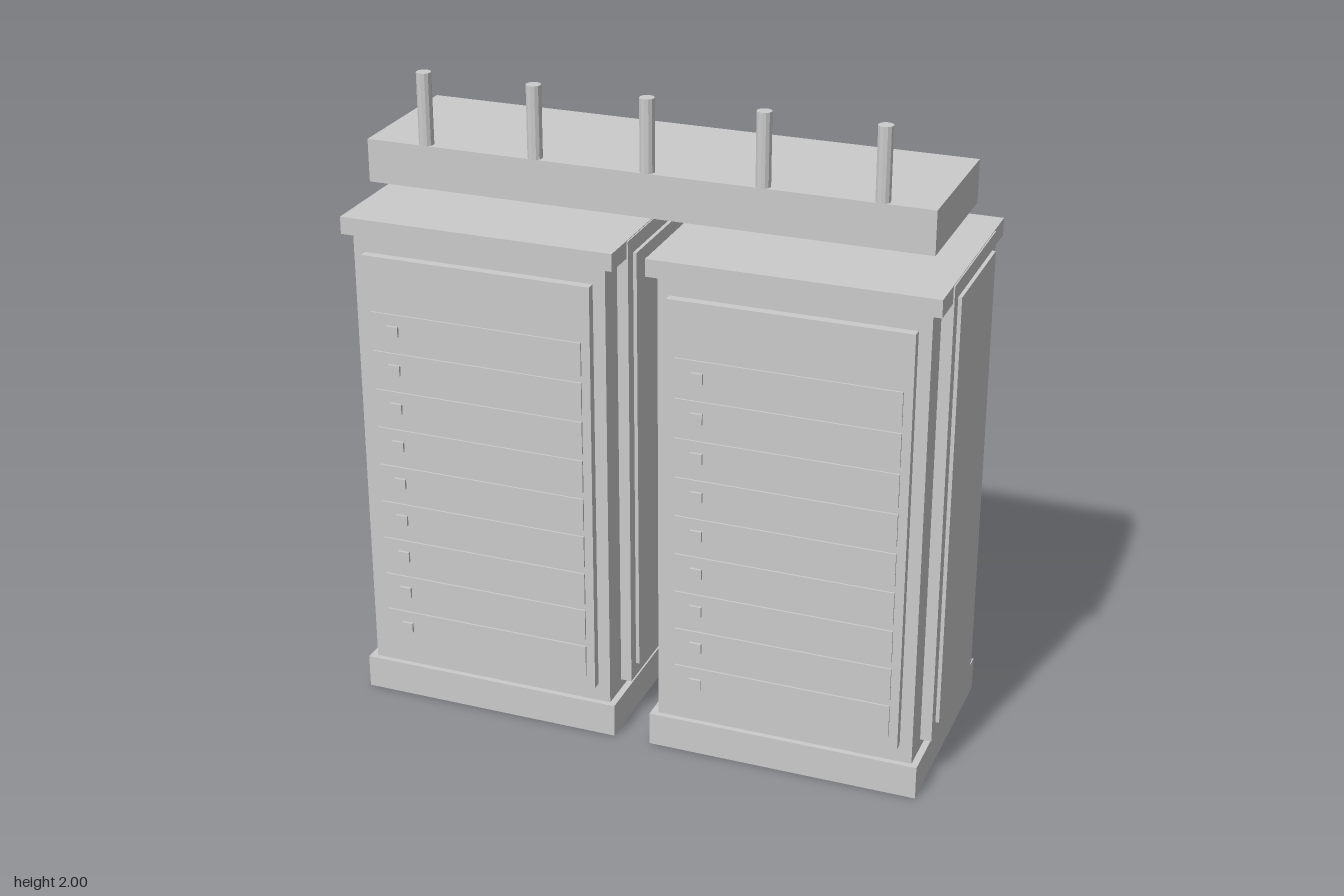
import * as THREE from 'three';

const material = new THREE.MeshStandardMaterial({ color: 0xcccccc, flatShading: true });

// Box given by its limits along each axis
function box(name, [x0, x1], [y0, y1], [z0, z1]) {
  const mesh = new THREE.Mesh(new THREE.BoxGeometry(x1 - x0, y1 - y0, z1 - z0), material);
  mesh.position.set((x0 + x1) / 2, (y0 + y1) / 2, (z0 + z1) / 2);
  mesh.name = name;
  return mesh;
}

function createCabinet(name) {
  const cabinet = new THREE.Group();
  cabinet.name = name;
  cabinet.add(
    box('base', [-0.905, -0.07], [0, 0.105], [-0.34, 0.325]),
    box('body', [-0.882, -0.09], [0.105, 1.525], [-0.32, 0.308]),
    box('topPlate', [-0.91, -0.06], [1.525, 1.578], [-0.347, 0.33]),
    box('frontDoor', [-0.846, -0.128], [0.163, 1.47], [0.3, 0.335]),
    // Stepped panel on the cabinet's left side
    box('sidePanel', [-0.1, -0.056], [0.136, 1.576], [-0.237, 0.219]),
    box('sidePanelInset', [-0.1, -0.045], [0.18, 1.53], [-0.2, 0.18])
  );

  // Column of drawer fronts, each with a small square latch
  for (let i = 0; i < 9; i++) {
    const y = 0.253 + i * 0.1242;
    cabinet.add(
      box('drawerFront', [-0.82, -0.155], [y - 0.051, y + 0.051], [0.32, 0.341]),
      box('drawerLatch', [-0.77, -0.733], [y - 0.016, y + 0.016], [0.33, 0.349])
    );
  }
  return cabinet;
}

export function createModel() {
  const model = new THREE.Group();
  model.name = 'cabinetPair';

  // Two identical cabinets side by side
  const rightCabinet = createCabinet('rightCabinet');
  const leftCabinet = createCabinet('leftCabinet');
  leftCabinet.position.x = 0.95;
  model.add(rightCabinet, leftCabinet);

  // Overhead duct hung from a row of rods
  model.add(box('overheadDuct', [-0.866, 0.835], [1.655, 1.785], [-0.236, 0.219]));
  const rodGeometry = new THREE.CylinderGeometry(0.022, 0.022, 0.215, 12);
  for (let i = 0; i < 5; i++) {
    const rod = new THREE.Mesh(rodGeometry, material);
    rod.name = 'hangerRod';
    rod.position.set(-0.003 + (i - 2) * 0.341, 1.8925, 0.2);
    model.add(rod);
  }
  return model;
}
